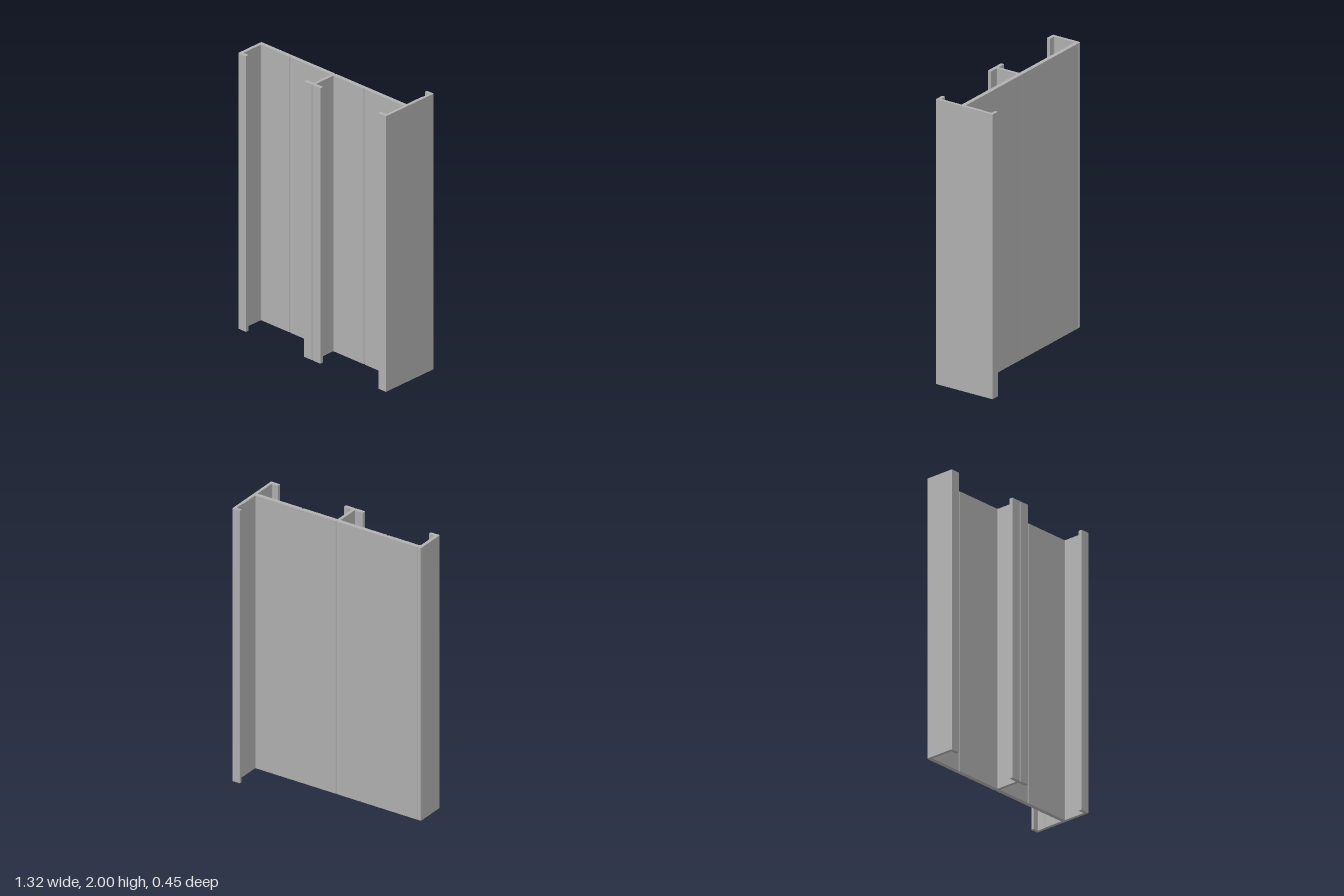
import * as THREE from 'three';

const HEIGHT = 2;

// Closed outline from [x, z, cornerRadius]; corners with a radius are rounded.
function roundedOutline(points) {
  const shape = new THREE.Shape();
  const n = points.length;
  points.forEach(([x, z, r = 0], i) => {
    const corner = new THREE.Vector2(x, -z);
    const toward = ([px, pz]) => {
      const d = new THREE.Vector2(px, -pz).sub(corner);
      return corner.clone().addScaledVector(d.normalize(), r);
    };
    const a = toward(points[(i + n - 1) % n]);
    const b = toward(points[(i + 1) % n]);
    if (i === 0) shape.moveTo(a.x, a.y);
    else shape.lineTo(a.x, a.y);
    if (r > 0) shape.quadraticCurveTo(corner.x, corner.y, b.x, b.y);
  });
  shape.closePath();
  return shape;
}

// Small V groove cut into a face at z; dir is the travel along x, depth is signed.
const groove = (x, z, dir, depth, w = 0.007) => [
  [x - dir * w, z], [x, z + depth], [x + dir * w, z],
];

export function createModel() {
  const aluminium = new THREE.MeshStandardMaterial({ color: 0xb0b0b0 });
  aluminium.name = 'aluminium grey';

  const e = 0.003; // softened lip edges
  const f = 0.008; // inner fillets
  const outline = roundedOutline([
    // back face of the web
    [-0.66, 0.005, 0.012],
    ...groove(-0.637, 0.005, 1, 0.003, 0.004),
    ...groove(0, 0.005, 1, 0.004, 0.009),
    // rear half of the right wall with its lip
    [0.636, 0.005], [0.636, -0.13], [0.64, -0.15],
    [0.64, -0.203, 0.006], [0.6, -0.203, e], [0.6, -0.225, e], [0.66, -0.225, e],
    // front lip of the right wall
    [0.66, 0.224, e], [0.59, 0.224, e], [0.59, 0.198, e],
    [0.638, 0.198, f], [0.638, 0.035, 0.004],
    // front face of the web, right bay
    ...groove(0.285, 0.035, -1, -0.006),
    // central T rib
    [0.011, 0.035, f], [0.011, 0.198, f],
    [0.075, 0.198, e], [0.075, 0.224, e],
    ...groove(0, 0.224, -1, -0.006),
    [-0.075, 0.224, e], [-0.075, 0.198, e],
    [-0.011, 0.198, f], [-0.011, 0.035, f],
    // front face of the web, left bay
    ...groove(-0.38, 0.035, -1, -0.006),
    // hooked left flange
    [-0.636, 0.035, f], [-0.636, 0.198, f],
    [-0.59, 0.198, e], [-0.59, 0.224, e], [-0.66, 0.224, 0.006],
  ]);

  // Extrude the section upwards
  const geometry = new THREE.ExtrudeGeometry(outline, {
    depth: HEIGHT, bevelEnabled: false, curveSegments: 4,
  });
  geometry.rotateX(-Math.PI / 2);

  const profile = new THREE.Mesh(geometry, aluminium);
  profile.name = 'extrudedProfile';

  const group = new THREE.Group();
  group.name = 'channelProfile';
  group.add(profile);
  return group;
}
